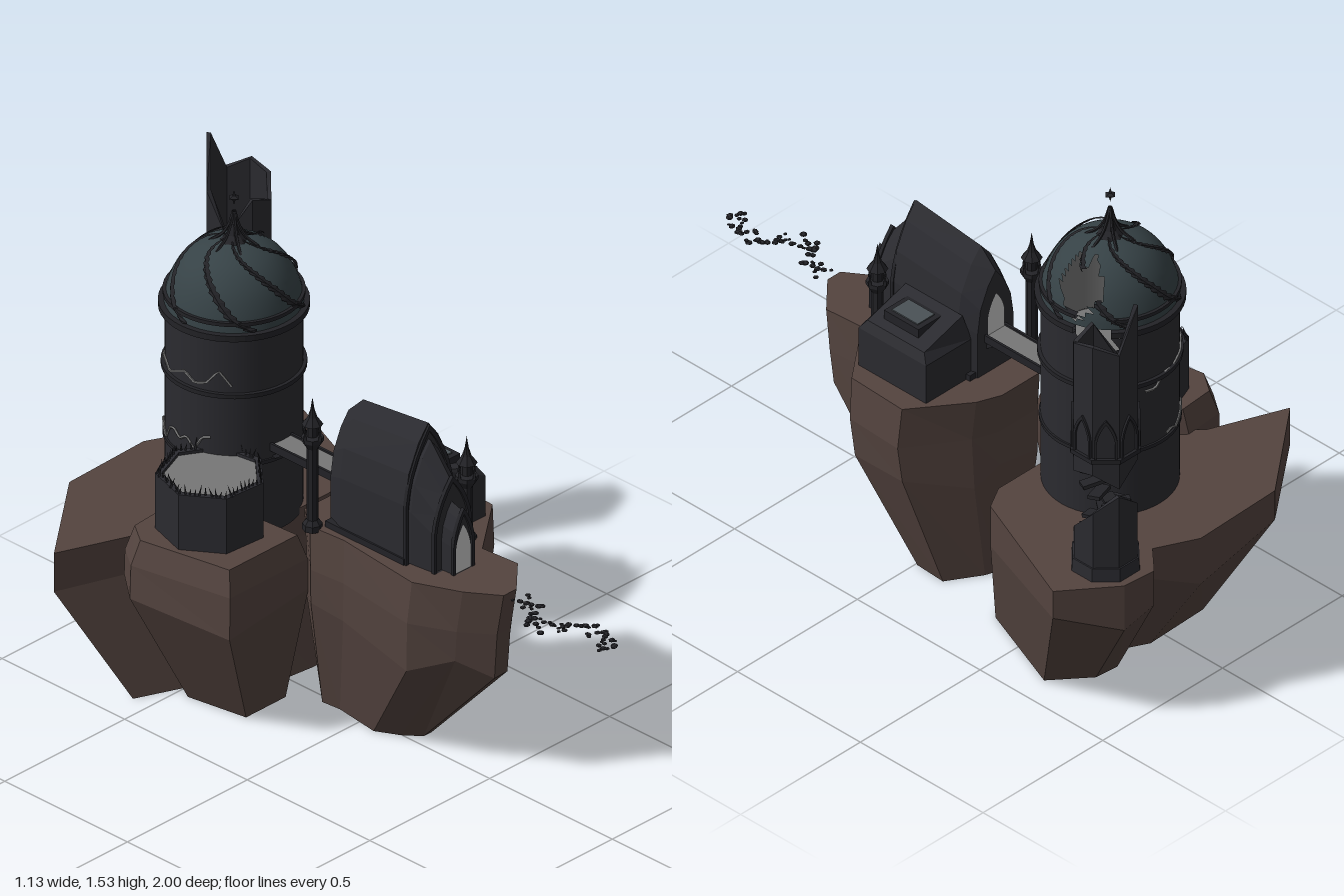
import * as THREE from 'three';

const mat = (color, opts = {}) => new THREE.MeshStandardMaterial({ color, ...opts });
const flat = { flatShading: true };
const rockMat = mat(0x54443f, flat);
const wallMat = mat(0x2b2b30, flat);
const roundWallMat = mat(0x2b2b30, { side: THREE.DoubleSide });
const domeMat = mat(0x364246, { side: THREE.DoubleSide });
const trimMat = mat(0x232327, { flatShading: true, side: THREE.DoubleSide });
const floorMat = mat(0x777777, flat);
const linerMat = mat(0x777777, { side: THREE.BackSide });
const glassMat = mat(0xcccccc, { side: THREE.DoubleSide });

const V = (x, y, z) => new THREE.Vector3(x, y, z);
let seed = 7;
const rnd = () => (seed = (seed * 16807) % 2147483647) / 2147483647;

function add(parent, name, geo, material, x = 0, y = 0, z = 0) {
  const m = new THREE.Mesh(geo, material);
  m.name = name;
  m.position.set(x, y, z);
  parent.add(m);
  return m;
}

// Joins rows of points; closed rings may be capped at both ends
function loft(rows, { closed = true, caps = true } = {}) {
  const n = rows[0].length, pts = rows.flat(), idx = [];
  for (let r = 0; r + 1 < rows.length; r++)
    for (let i = 0; i < (closed ? n : n - 1); i++) {
      const j = (i + 1) % n, a = r * n + i, b = r * n + j;
      idx.push(a, a + n, b + n, a, b + n, b);
    }
  if (caps) [0, rows.length - 1].forEach((r, top) => {
    const c = rows[r].reduce((s, p) => s.add(p), V(0, 0, 0)).divideScalar(n);
    const k = pts.push(c) - 1;
    for (let i = 0; i < n; i++) {
      const a = r * n + i, b = r * n + (i + 1) % n;
      top ? idx.push(a, k, b) : idx.push(b, k, a);
    }
  });
  const g = new THREE.BufferGeometry().setFromPoints(pts);
  g.setIndex(idx);
  g.computeVertexNormals();
  return g;
}

// Removes triangles whose centre satisfies the test
function cut(geo, test) {
  const p = geo.attributes.position, src = geo.index.array, out = [], c = V(0, 0, 0), v = V(0, 0, 0);
  for (let i = 0; i < src.length; i += 3) {
    c.set(0, 0, 0);
    for (let k = 0; k < 3; k++) c.add(v.fromBufferAttribute(p, src[i + k]));
    c.divideScalar(3);
    if (!test(Math.atan2(c.z, c.x), c.y)) out.push(src[i], src[i + 1], src[i + 2]);
  }
  geo.setIndex(out);
  return geo;
}

const lathe = (pts, seg = 32) => new THREE.LatheGeometry(pts.map(p => new THREE.Vector2(...p)), seg);

// Rock: outline scaled about a centre at each level [y, sx, sz, dx, dz]
function rock(parent, name, outline, [cx, cz], levels) {
  const rows = levels.map(([y, sx, sz, dx = 0, dz = 0], l) => outline.map(([x, z], i) =>
    V(cx + dx + (x - cx) * sx, y + (l === 1 ? 0.035 * Math.sin(i * 2.3) : 0), cz + dz + (z - cz) * sz)));
  add(parent, name, loft(rows), rockMat);
}

// Hollow polygonal wall with its own height at every corner
function hollowWall(sides, r, thick, low, high, turn) {
  const at = (h, k) => Array.isArray(h) ? h[k] : h;
  const ring = (rad, h) => Array.from({ length: sides }, (_, k) => {
    const a = turn + k * 2 * Math.PI / sides;
    return V(rad * Math.cos(a), at(h, k), rad * Math.sin(a));
  });
  return loft([ring(r, low), ring(r, high), ring(r - thick, high), ring(r - thick, low), ring(r, low)], { caps: false });
}

// Pointed arch outline, also used as a path for frames
function lancet(w, h, Type = THREE.Shape) {
  const s = new Type();
  s.moveTo(-w, 0);
  s.lineTo(w, 0);
  s.lineTo(w, h * 0.45);
  s.quadraticCurveTo(w * 0.85, h * 0.75, 0, h);
  s.quadraticCurveTo(-w * 0.85, h * 0.75, -w, h * 0.45);
  s.closePath();
  return s;
}
function archFrame(w, h, t, depth) {
  const s = lancet(w, h);
  s.holes.push(lancet(w - t, h - t * 2, THREE.Path));
  return new THREE.ExtrudeGeometry(s, { depth, bevelEnabled: false, curveSegments: 5 });
}

function buildTower(root) {
  const g = new THREE.Group();
  g.name = 'domedTower';
  g.position.set(0.033, 0, -0.575);
  root.add(g);
  const R = 0.203;
  // Wall with a ragged breach on its left side
  const wall = lathe(Array.from({ length: 18 }, (_, i) => [R, 0.48 + i * 0.041]), 48);
  add(g, 'towerWall', cut(wall, (a, y) => y > 0.98 + 0.07 * Math.sin(a * 9) && a > -0.85 && a < -0.25 - (1.18 - y)), roundWallMat);
  add(g, 'towerLining', new THREE.CylinderGeometry(0.195, 0.195, 0.68, 32, 1, true), linerMat, 0, 0.84, 0);
  add(g, 'towerFloor', new THREE.CylinderGeometry(0.195, 0.195, 0.01, 32), floorMat, 0, 0.96, 0);
  for (const [y, r, h] of [[0.725, 0.209, 0.012], [0.96, 0.214, 0.014], [1.16, 0.222, 0.02], [1.2, 0.209, 0.012]]) {
    const band = lathe([[r - 0.02, -h / 2], [r, -h / 2], [r, h / 2], [r - 0.02, h / 2]], 48);
    add(g, 'towerBand', cut(band, a => y > 1 && a > -0.8 && a < -0.3), trimMat, 0, y, 0);
  }
  // Dome with a hole
  const prof = new THREE.CatmullRomCurve3([[0.205, 1.17], [0.198, 1.21], [0.172, 1.275], [0.132, 1.325], [0.085, 1.355], [0.02, 1.375]].map(([r, y]) => V(r, y, 0)));
  const broken = (a, y) => y < 1.335 + 0.02 * Math.sin(a * 13) && y > 1.225 + 0.04 * Math.sin(a * 7) && a > -0.65 && a < 0.2;
  add(g, 'dome', cut(lathe(prof.getPoints(18).map(p => [p.x, p.y]), 48), broken), domeMat);
  // Leafy swirling ribs
  for (let k = 0; k < 6; k++) {
    const rows = [-1, 0, 1].map(side => Array.from({ length: 33 }, (_, i) => {
      const t = i / 32, p = prof.getPoint(t), r = p.x + (side ? 0.004 : 0.01);
      const a = k * Math.PI / 3 + t * 1.5 + side * (i % 2 ? 0.1 : 0.055);
      return V(r * Math.cos(a), p.y + 0.004, r * Math.sin(a));
    }));
    add(g, 'domeRib', cut(loft(rows, { closed: false, caps: false }), broken), trimMat);
    const a = k * Math.PI / 3;
    const leg = new THREE.CatmullRomCurve3([[0.075, 1.355], [0.035, 1.385], [0.015, 1.42], [0.002, 1.465]].map(([r, y]) => V(r * Math.cos(a), y, r * Math.sin(a))));
    add(g, 'spireLeg', new THREE.TubeGeometry(leg, 8, 0.005, 5), trimMat);
  }
  add(g, 'spire', lathe([[0.045, 1.365], [0.022, 1.39], [0.009, 1.425], [0, 1.47]], 8), trimMat);
  add(g, 'finial', lathe([[0, -0.025], [0.006, -0.007], [0.019, 0], [0.006, 0.007], [0, 0.025]], 4), trimMat, 0, 1.51, 0);
  // Jagged cracks around the back
  for (const [a0, a1, y0] of [[2.4, 5, 1.02], [2.7, 4.6, 0.8]]) {
    const pts = Array.from({ length: 15 }, (_, i) => {
      const a = a0 + (a1 - a0) * i / 14;
      return V(0.206 * Math.cos(a), y0 + (rnd() - 0.5) * 0.06 - i * 0.006, 0.206 * Math.sin(a));
    });
    add(g, 'wallCrack', new THREE.TubeGeometry(new THREE.CatmullRomCurve3(pts, false, 'catmullrom', 0.1), 42, 0.004, 4), floorMat);
  }
}

function buildBrokenSpire(root) {
  const g = new THREE.Group();
  g.name = 'brokenSpire';
  g.position.set(0.353, 0, -0.868);
  root.add(g);
  const turn = Math.PI / 8;
  add(g, 'spireBase', new THREE.CylinderGeometry(0.105, 0.108, 0.05, 8), wallMat, 0, 0.52, 0).rotation.y = turn;
  add(g, 'spireStub', hollowWall(8, 0.1, 0.014, 0.5, [0.66, 0.6, 0.58, 0.6, 0.66, 0.74, 0.8, 0.74], turn), wallMat);
  add(g, 'stubFloor', new THREE.CylinderGeometry(0.085, 0.085, 0.02, 8), floorMat, 0, 0.58, 0).rotation.y = turn;
  add(g, 'floatingShaft', hollowWall(8, 0.102, 0.014, [0.86, 0.9, 0.84, 0.92, 0.86, 0.9, 0.83, 0.88],
    [1.32, 1.27, 1.3, 1.18, 1.3, 1.455, 1.31, 1.34], turn), wallMat);
  add(g, 'shaftFloor', new THREE.CylinderGeometry(0.09, 0.09, 0.02, 8), wallMat, 0, 0.95, 0).rotation.y = turn;
  add(g, 'shaftBand', hollowWall(8, 0.112, 0.02, 0.927, 0.942, turn), trimMat);
  for (let k = 0; k < 8; k++) {
    const arch = add(g, 'shaftArch', archFrame(0.034, 0.14, 0.007, 0.008), trimMat);
    arch.position.set(0.093 * Math.sin(k * Math.PI / 4), 0.94, 0.093 * Math.cos(k * Math.PI / 4));
    arch.rotation.y = k * Math.PI / 4;
  }
  // Remains of the spiral stair
  for (let i = 0; i < 13; i++) {
    const a = i * 0.75, s = add(g, 'stairSlab', new THREE.BoxGeometry(0.07, 0.012, 0.04), trimMat,
      0.04 * Math.cos(a), 0.61 + i * 0.021, 0.04 * Math.sin(a));
    s.rotation.set(0.15, -a, 0.12 * Math.sin(i * 2));
  }
}

function buildHall(root) {
  const g = new THREE.Group();
  g.name = 'archedHall';
  g.position.set(0.025, 0.64, 0);
  root.add(g);
  const half = [[1, 0], [1, 0.45], [0.84, 0.68], [0.42, 0.88]];
  const section = ([z, w, h]) => [...half.map(([x, y]) => V(-x * w, y * h, z)), V(0, h, z),
    ...half.slice().reverse().map(([x, y]) => V(x * w, y * h, z))];
  const vault = (name, list) => add(g, name, loft(list.map(section)), wallMat);
  vault('hallNave', [[-0.1, 0.075, 0.35], [-0.04, 0.097, 0.41], [0.225, 0.097, 0.44]]);
  vault('hallFront', [[0.2, 0.082, 0.39], [0.235, 0.082, 0.385], [0.32, 0.072, 0.28]]);
  vault('hallPorch', [[0.3, 0.043, 0.22], [0.365, 0.04, 0.2]]);
  for (const [z, w, h] of [[0.22, 0.1, 0.435], [0.315, 0.078, 0.3], [0.36, 0.044, 0.21]])
    add(g, 'archMoulding', archFrame(w, h, 0.01, 0.012), trimMat, 0, 0, z);
  add(g, 'frontDoor', new THREE.ShapeGeometry(lancet(0.032, 0.155)), glassMat, 0, 0, 0.368);
  add(g, 'bridgeDoor', new THREE.ShapeGeometry(lancet(0.035, 0.14)), glassMat, 0, 0.13, -0.103);
  add(g, 'hallPlinth', new THREE.BoxGeometry(0.205, 0.02, 0.32), trimMat, 0, 0.01, 0.065);

  // Side annex with a roof falling outwards and a skylight
  const roofRing = (y, s) => [[0.08, -0.08], [0.27, -0.08], [0.27, 0.195], [0.08, 0.195]]
    .map(([x, z], i) => V(0.175 + (x - 0.175) * s, y + (i % 3 ? 0 : s < 1 ? 0.05 : 0), 0.058 + (z - 0.058) * s));
  add(g, 'annex', loft([roofRing(0, 1), roofRing(0.135, 1), roofRing(0.165, 0.84)]), wallMat);
  add(g, 'skylightFrame', new THREE.BoxGeometry(0.1, 0.05, 0.14), trimMat, 0.175, 0.18, 0.065);
  add(g, 'skylightPane', new THREE.BoxGeometry(0.07, 0.006, 0.105), mat(0x4b5256), 0.175, 0.206, 0.065);
}

function buildMinaret(root, x, z, top) {
  const g = new THREE.Group();
  g.name = 'minaret';
  g.position.set(x, 0.63, z);
  root.add(g);
  const h = top - 0.63, c = h - 0.14;
  add(g, 'minaretShaft', lathe([[0.03, 0], [0.03, 0.02], [0.018, 0.035], [0.018, c - 0.03], [0.034, c - 0.005], [0.034, c + 0.008],
    [0.018, c + 0.012], [0.018, c + 0.045], [0.032, c + 0.05], [0.014, c + 0.075], [0.006, c + 0.1], [0, h]], 8), trimMat);
  for (let k = 0; k < 4; k++) {
    const a = k * Math.PI / 2;
    add(g, 'minaretSpike', new THREE.ConeGeometry(0.007, 0.045, 4), trimMat, 0.031 * Math.cos(a), c + 0.028, 0.031 * Math.sin(a));
  }
}

export function createModel() {
  const root = new THREE.Group();
  root.name = 'floatingCastle';
  rock(root, 'backRock', [[-0.57, -0.72], [-0.245, -0.975], [0.075, -0.985], [0.21, -0.92], [0.285, -1], [0.4, -0.99], [0.565, -0.86],
    [0.39, -0.435], [0.31, -0.39], [0.13, -0.39], [-0.15, -0.42], [-0.32, -0.62]], [0.02, -0.5],
  [[0, 0.71, 0.75, 0, 0.1], [0.37, 1, 1], [0.5, 1, 1]]);
  rock(root, 'sideRock', [[-0.468, -0.51], [-0.41, -0.59], [-0.27, -0.6], [-0.09, -0.45], [-0.07, -0.17], [-0.4, -0.17]], [-0.25, -0.38],
    [[0, 0.5, 0.6, 0.08, 0], [0.39, 1, 1], [0.5, 0.98, 1], [0.58, 0.86, 0.9]]);
  rock(root, 'frontRock', [[-0.05, -0.21], [0.11, -0.21], [0.19, -0.18], [0.37, -0.05], [0.36, 0.165], [0.155, 0.32], [0.165, 0.455],
    [0.055, 0.555], [0, 0.555], [-0.07, 0.455], [-0.135, 0.31], [-0.1, 0], [-0.11, -0.13]], [0.1, 0.1],
  [[0, 0.6, 0.51, 0, -0.14], [0.36, 0.98, 0.94, 0, -0.01], [0.5, 1.02, 0.95], [0.64, 0.98, 1]]);

  buildTower(root);
  buildBrokenSpire(root);
  buildHall(root);
  buildMinaret(root, -0.1, -0.125, 1.075);
  buildMinaret(root, 0.165, 0.245, 0.985);

  // Low open tower with a spiked rim
  const keep = new THREE.Group();
  keep.name = 'lowTower';
  keep.position.set(-0.235, 0, -0.405);
  root.add(keep);
  add(keep, 'lowTowerWall', hollowWall(7, 0.165, 0.02, 0.56, 0.765, 0.3), wallMat);
  add(keep, 'lowTowerFloor', new THREE.CylinderGeometry(0.15, 0.15, 0.02, 7), floorMat, 0, 0.745, 0).rotation.y = Math.PI / 2 - 0.3;
  for (let i = 0; i < 63; i++) {
    const k = i / 63 * 7, a = 0.3 + Math.floor(k) * 2 * Math.PI / 7, f = k % 1, b = a + 2 * Math.PI / 7, h = 0.025 + rnd() * 0.02;
    const s = add(keep, 'rimSpike', new THREE.ConeGeometry(0.005, h, 4), trimMat, 0.156 * (Math.cos(a) * (1 - f) + Math.cos(b) * f),
      0.76 + h / 2, 0.156 * (Math.sin(a) * (1 - f) + Math.sin(b) * f));
    s.rotation.set((rnd() - 0.5) * 0.6, 0, (rnd() - 0.5) * 0.6);
  }

  // Bridge from hall to tower, with parapets and end brackets
  add(root, 'bridgeDeck', new THREE.BoxGeometry(0.075, 0.016, 0.3), floorMat, 0.027, 0.767, -0.235);
  for (const s of [-1, 1]) {
    add(root, 'bridgeRail', new THREE.BoxGeometry(0.008, 0.026, 0.3), trimMat, 0.027 + s * 0.041, 0.768, -0.235);
    add(root, 'bridgeBracket', new THREE.BoxGeometry(0.07, 0.012, 0.08), trimMat, 0.027, 0.745, -0.235 + s * 0.12).rotation.x = s * 0.6;
  }

  // Winding path of floating stones
  const path = new THREE.CatmullRomCurve3([[0.03, 0.585], [0.02, 0.66], [-0.04, 0.71], [-0.025, 0.78], [0.02, 0.82], [0.05, 0.88], [0.03, 0.94], [0, 0.985]]
    .map(([x, z]) => V(x, 0.633, z)));
  for (let i = 0; i < 60; i++) {
    const p = path.getPoint(i / 59), r = 0.006 + rnd() * 0.006;
    const s = add(root, 'pathStone', new THREE.DodecahedronGeometry(r), trimMat, p.x + (rnd() - 0.5) * 0.07, p.y + (rnd() - 0.5) * 0.006, p.z);
    s.scale.y = 0.45;
    s.rotation.y = rnd() * 6;
  }
  return root;
}
